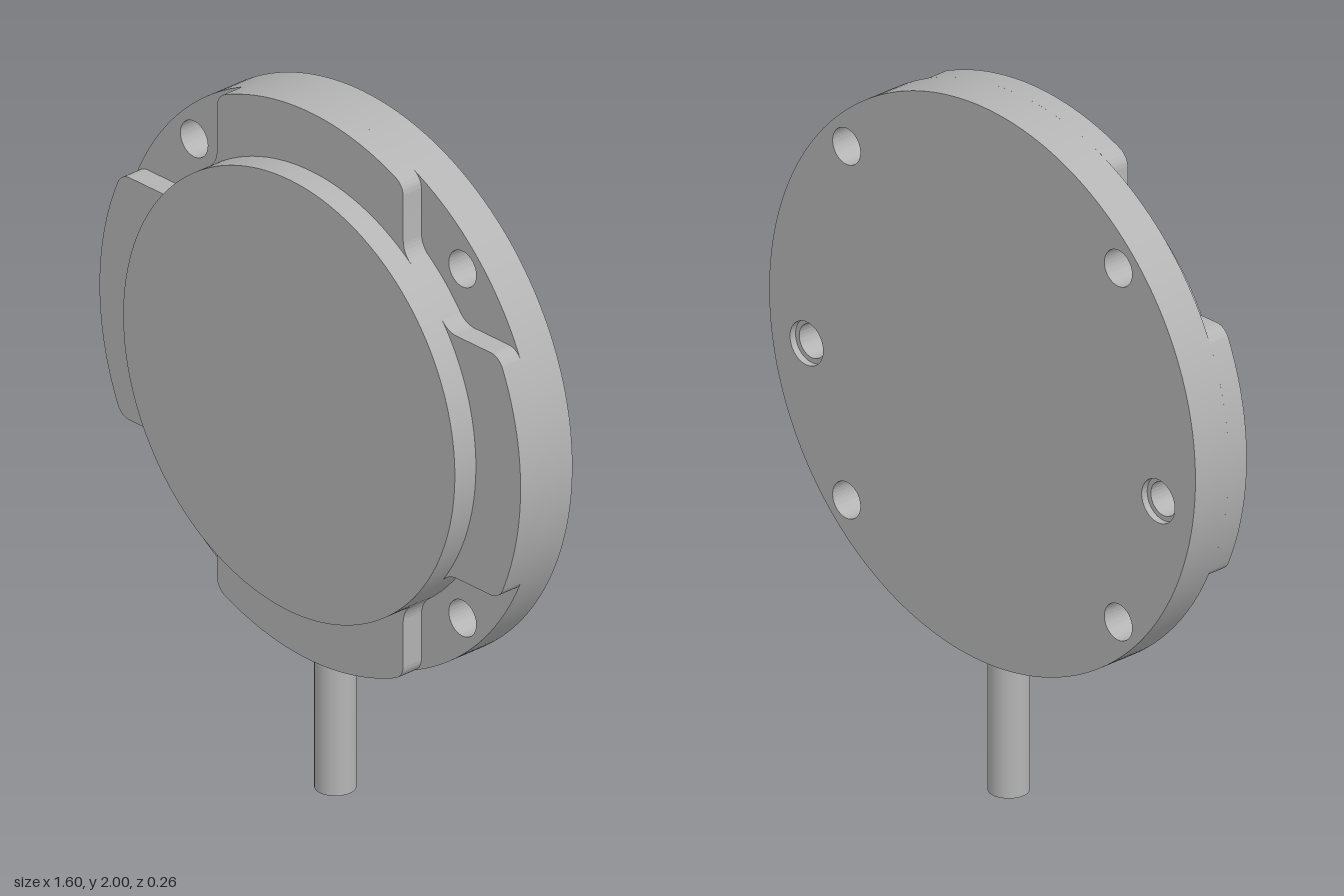
import * as THREE from 'three';
import { toCreasedNormals } from 'three/addons/utils/BufferGeometryUtils.js';

const R = 0.8, HUB = 0.63, CENTRE_Y = 1.2;

export function createModel() {
  const model = new THREE.Group();
  model.name = 'roundHousing';
  const grey = new THREE.MeshStandardMaterial({ color: 0xb4b4b4 });
  grey.name = 'plain grey';

  const body = new THREE.Group();
  body.name = 'body';
  body.position.y = CENTRE_Y;
  model.add(body);

  // Extrudes a shape between two z levels
  const slab = (name, shape, z0, z1, curveSegments = 96) => {
    const geo = new THREE.ExtrudeGeometry(shape, { depth: z1 - z0, bevelEnabled: false, curveSegments });
    geo.translate(0, 0, z0);
    const mesh = new THREE.Mesh(toCreasedNormals(geo, 0.5), grey);
    mesh.name = name;
    body.add(mesh);
    return mesh;
  };

  const disc = (r) => new THREE.Shape().absarc(0, 0, r, 0, Math.PI * 2, false);

  // Base disc with four through holes and, optionally, two rear sockets
  const baseShape = (socketRadius) => {
    const shape = disc(R);
    const drill = (x, y, r) => shape.holes.push(new THREE.Path().absarc(x, y, r, 0, Math.PI * 2, true));
    for (const sx of [-1, 1]) {
      for (const sy of [-1, 1]) drill(sx * 0.51, sy * 0.51, 0.052);
      if (socketRadius) drill(sx * 0.66, -0.11, socketRadius);
    }
    return shape;
  };
  slab('baseBack', baseShape(0.062), -0.13, -0.11);
  slab('baseMiddle', baseShape(0.048), -0.11, -0.03);
  slab('baseFront', baseShape(0), -0.03, -0.01);

  // Raised central hub
  slab('hub', disc(HUB), -0.01, 0.13);

  // Rim pad: straight sides, rounded outer corners, fillets flaring into the hub
  const half = 0.354, f = 0.07, g = 0.05;
  const fx = half + f, fy = Math.sqrt((HUB + f) ** 2 - fx ** 2);
  const gx = half - g, gy = Math.sqrt((R - g) ** 2 - gx ** 2);
  const fa = Math.atan2(fy, fx), ga = Math.atan2(gy, gx), inner = HUB - 0.03;
  const pad = new THREE.Shape();
  pad.moveTo(inner * Math.cos(fa), inner * Math.sin(fa));
  pad.absarc(fx, fy, f, fa + Math.PI, Math.PI, true);
  pad.absarc(gx, gy, g, 0, ga, false);
  pad.absarc(0, 0, R, ga, Math.PI - ga, false);
  pad.absarc(-gx, gy, g, Math.PI - ga, Math.PI, false);
  pad.absarc(-fx, fy, f, 0, -fa, true);
  pad.absarc(0, 0, inner, Math.PI - fa, fa, true);
  ['top', 'left', 'bottom', 'right'].forEach((side, i) => {
    slab(side + 'RimPad', pad, -0.01, 0.055, 24).rotation.z = -i * Math.PI / 2;
  });

  // Stem below the body
  const stem = new THREE.Mesh(new THREE.CylinderGeometry(0.055, 0.055, 0.44, 48), grey);
  stem.name = 'stem';
  stem.position.set(0, 0.22, -0.035);
  model.add(stem);

  return model;
}
